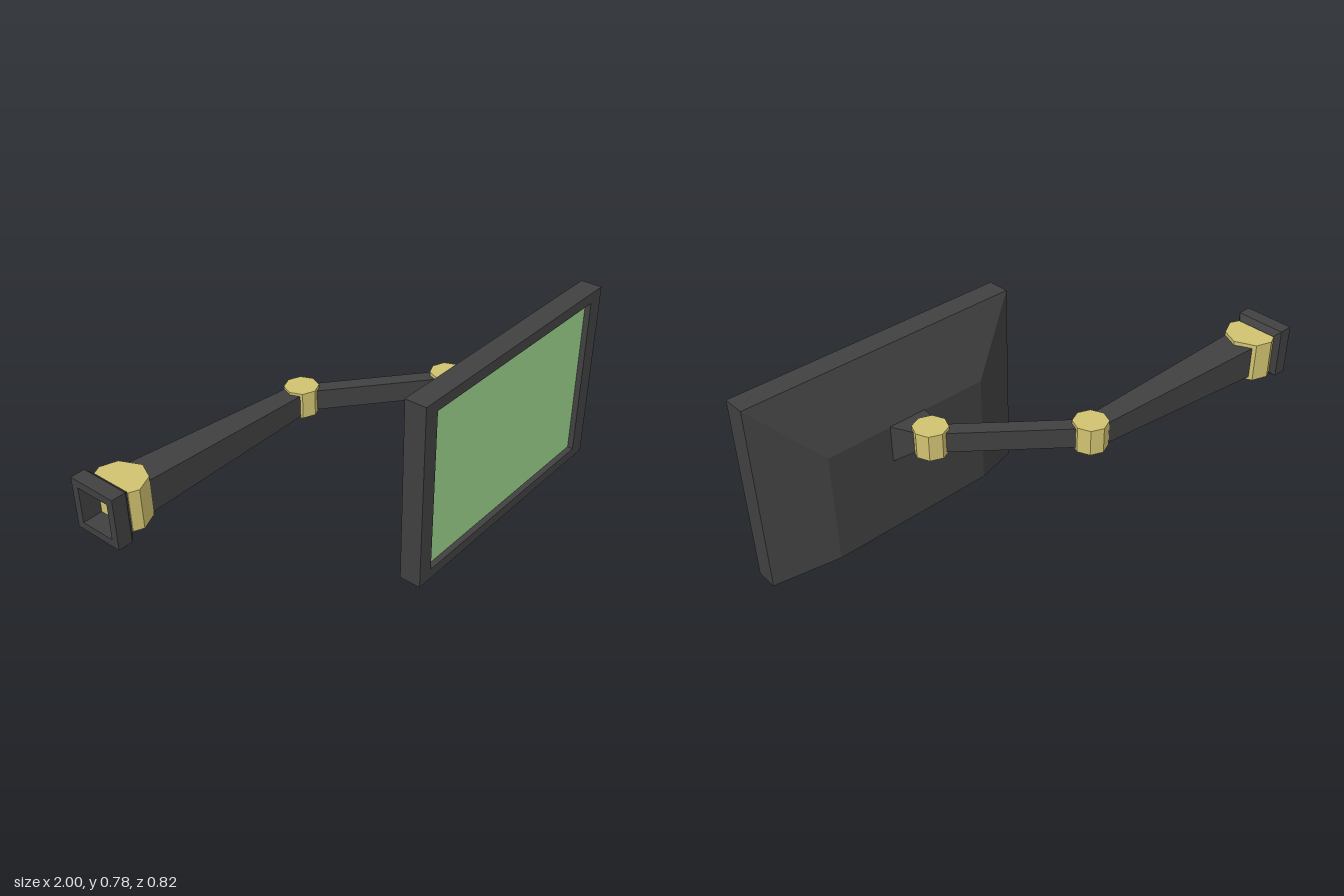
import * as THREE from 'three';

const dark = new THREE.MeshStandardMaterial({ color: 0x404040, flatShading: true });
const gold = new THREE.MeshStandardMaterial({ color: 0xd0c270, flatShading: true });
const green = new THREE.MeshStandardMaterial({ color: 0x99cf8a, flatShading: true });

// Rectangular cross-section at depth z, counter-clockwise seen from +z
const rect = (x0, x1, y0, y1, z) => [[x0, y0, z], [x1, y0, z], [x1, y1, z], [x0, y1, z]];

// Skin a series of four-cornered sections, optionally closing the ends
function loft(rings, capStart = true, capEnd = true) {
  const pos = [];
  const quad = (a, b, c, d) => [a, b, c, a, c, d].forEach((p) => pos.push(...p));
  for (let r = 0; r + 1 < rings.length; r++) {
    const [a, b] = [rings[r], rings[r + 1]];
    for (let i = 0; i < 4; i++) {
      const j = (i + 1) % 4;
      quad(a[i], a[j], b[j], b[i]);
    }
  }
  if (capStart) quad(...[...rings[0]].reverse());
  if (capEnd) quad(...rings[rings.length - 1]);
  const g = new THREE.BufferGeometry();
  g.setAttribute('position', new THREE.Float32BufferAttribute(pos, 3));
  g.computeVertexNormals();
  return g;
}

export function createModel() {
  const model = new THREE.Group();
  model.name = 'monitorOnWallArm';
  const add = (name, geometry, material) => {
    const mesh = new THREE.Mesh(geometry, material);
    mesh.name = name;
    model.add(mesh);
    return mesh;
  };

  // Monitor housing: tapered back, straight rim, bevelled screen recess
  add('housing', loft([
    rect(0.07, 0.765, 0.06, 0.52, 0.218),
    rect(-0.16, 1, 0, 0.78, 0.322),
    rect(-0.16, 1, 0, 0.78, 0.412),
    rect(-0.093, 0.928, 0.043, 0.735, 0.412),
    rect(-0.083, 0.92, 0.05, 0.728, 0.392),
  ], true, false), dark);
  const screen = add('screen', new THREE.PlaneGeometry(1.003, 0.678), green);
  screen.position.set(0.4185, 0.389, 0.392);

  // Neck from the elbow down to the back of the housing
  add('neck', loft([
    rect(0.368, 0.458, 0.463, 0.534, 0.1),
    rect(0.34, 0.498, 0.365, 0.521, 0.22),
  ]), dark);

  // Octagonal pivots
  const pivots = { frontPivot: [0.41, 0.098], middlePivot: [-0.027, -0.267] };
  for (const [name, [x, z]] of Object.entries(pivots)) {
    add(name, new THREE.CylinderGeometry(0.067, 0.067, 0.105, 8), gold).position.set(x, 0.4925, z);
  }

  // Arms taper between two points given as [x, z], with half-width and half-height
  const arm = (name, p, q, [w0, h0], [w1, h1]) => {
    const dx = q[0] - p[0], dz = q[1] - p[1];
    const mesh = add(name, loft([
      rect(-w0, w0, -h0, h0, 0),
      rect(-w1, w1, -h1, h1, Math.hypot(dx, dz)),
    ]), dark);
    mesh.position.set(p[0], 0.49, p[1]);
    mesh.rotation.y = Math.atan2(dx, dz);
  };
  arm('forearm', pivots.middlePivot, pivots.frontPivot, [0.029, 0.041], [0.029, 0.041]);
  arm('upperArm', [-0.87, -0.308], pivots.middlePivot, [0.07, 0.067], [0.039, 0.043]);

  // Large shoulder pivot with a flat side against the wall mount
  const outline = [[-0.922, -0.222], [-0.885, -0.206], [-0.815, -0.238], [-0.783, -0.307],
    [-0.82, -0.388], [-0.885, -0.41], [-0.922, -0.393]];
  const shape = new THREE.Shape(outline.map(([x, z]) => new THREE.Vector2(x, -z)));
  const shoulder = new THREE.ExtrudeGeometry(shape, { depth: 0.16, bevelEnabled: false });
  shoulder.rotateX(-Math.PI / 2);
  add('shoulderPivot', shoulder, gold).position.y = 0.411;

  // Hollow wall mount, open to the wall, bevelled toward the shoulder
  const mount = (inset, x) => rect(0.206 + inset, 0.411 - inset, 0.388 + inset, 0.592 - inset, x);
  add('wallMount', loft([
    mount(0.03, -0.921), mount(0.03, -1), mount(0, -1), mount(0, -0.943),
    mount(0.02, -0.921), mount(0.03, -0.921),
  ], false, false), dark).rotation.y = Math.PI / 2;

  return model;
}
